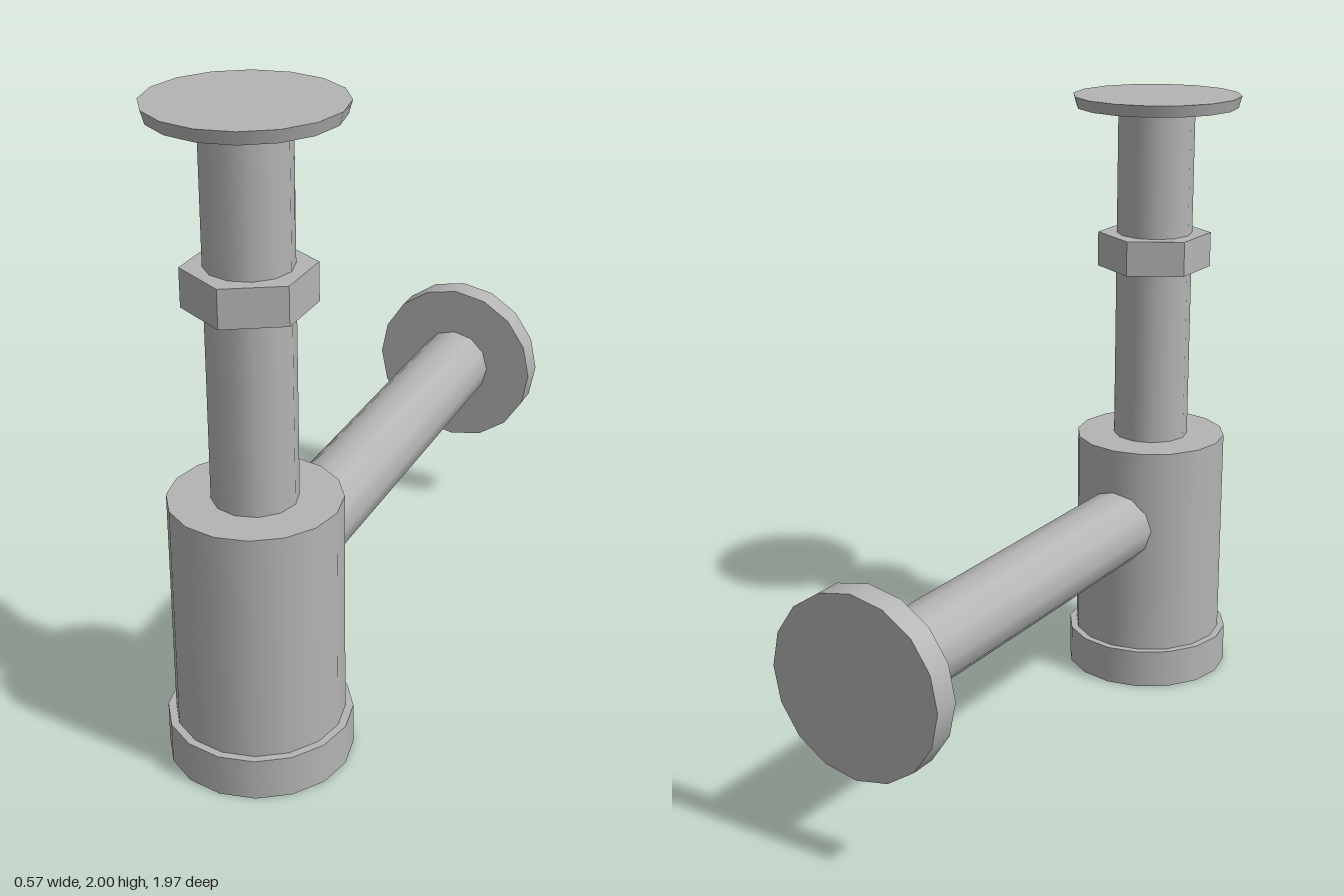
import * as THREE from 'three';

export function createModel() {
  const model = new THREE.Group();
  const metal = new THREE.MeshStandardMaterial({ color: 0xb4b4b4 });
  metal.name = 'grey metal';
  const AXIS_Z = 0.708; // axis of the upright parts
  const ARM_Y = 0.567;  // height of the wall pipe

  function add(name, geometry) {
    const mesh = new THREE.Mesh(geometry, metal);
    mesh.name = name;
    model.add(mesh);
  }

  // Upright cylinder between two heights
  function upright(name, y0, y1, rTop, rBottom, sides) {
    const g = new THREE.CylinderGeometry(rTop, rBottom, y1 - y0, sides);
    add(name, g.translate(0, (y0 + y1) / 2, AXIS_Z));
  }

  // Horizontal cylinder between two depths
  function horizontal(name, z0, z1, radius, sides) {
    const g = new THREE.CylinderGeometry(radius, radius, z1 - z0, sides);
    add(name, g.rotateX(Math.PI / 2).translate(0, ARM_Y, (z0 + z1) / 2));
  }

  // Bottle trap body
  upright('baseCap', 0, 0.13, 0.277, 0.277, 16);
  upright('trapBody', 0.12, 0.843, 0.253, 0.253, 16);

  // Inlet pipe, hexagonal nut with a corner facing front, and drain flange
  upright('inletPipe', 0.83, 1.97, 0.126, 0.126, 12);
  const nut = new THREE.CylinderGeometry(0.188, 0.188, 0.115, 6).toNonIndexed();
  nut.computeVertexNormals();
  add('hexNut', nut.translate(0, 1.4875, AXIS_Z));
  upright('drainFlange', 1.962, 2, 0.277, 0.266, 16);

  // Outlet pipe and wall flange
  horizontal('outletPipe', -0.91, 0.6, 0.126, 12);
  horizontal('wallFlange', -0.985, -0.9, 0.284, 16);

  return model;
}
